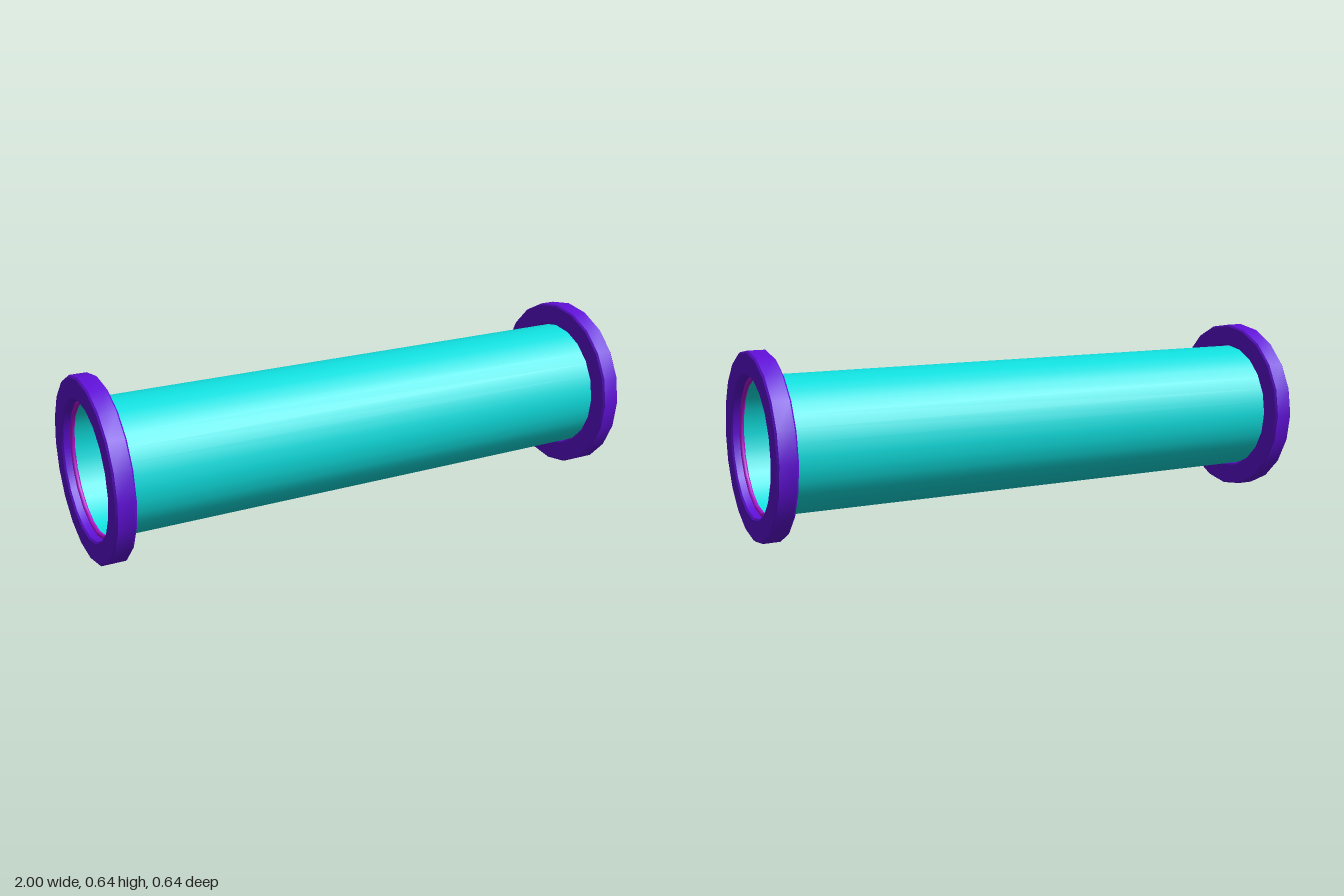
import * as THREE from 'three';
import { toCreasedNormals } from 'three/addons/utils/BufferGeometryUtils.js';

const AXIS_Y = 0.32;   // height of the tube axis
const SIDES = 20;      // facets around the flanges and seals

export function createModel() {
  const model = new THREE.Group();
  const cyan = new THREE.MeshStandardMaterial({ color: 0x10e0e0, side: THREE.DoubleSide });
  const purple = new THREE.MeshStandardMaterial({ color: 0x6010d8 });
  const magenta = new THREE.MeshStandardMaterial({ color: 0xb014d0 });

  const add = (name, geometry, material, x = 0) => {
    const mesh = new THREE.Mesh(geometry, material);
    mesh.name = name;
    mesh.position.set(x, AXIS_Y, 0);
    model.add(mesh);
  };

  // Open smooth tube along x
  const tube = new THREE.CylinderGeometry(0.235, 0.235, 1.93, 32, 1, true);
  add('tube', tube.rotateZ(Math.PI / 2), cyan);

  // Flange: rectangular ring section with bevelled corners, turned around the axis
  const inner = 0.239, outer = 0.32, half = 0.035, b = 0.006;
  const section = [
    [inner + b, -half], [outer - b, -half], [outer, -half + b], [outer, half - b],
    [outer - b, half], [inner + b, half], [inner, half - b], [inner, -half + b],
    [inner + b, -half],
  ].map(([r, y]) => new THREE.Vector2(r, y));
  const flange = toCreasedNormals(new THREE.LatheGeometry(section, SIDES), 0.5).rotateZ(Math.PI / 2);

  // Thin seal ring at the tube mouth
  const seal = new THREE.TorusGeometry(0.231, 0.008, 8, SIDES).rotateY(Math.PI / 2);

  for (const [side, s] of [['left', 1], ['right', -1]]) {
    add(side + 'Flange', flange, purple, s * (1 - half));
    add(side + 'Seal', seal, magenta, s * 0.965);
  }
  return model;
}
